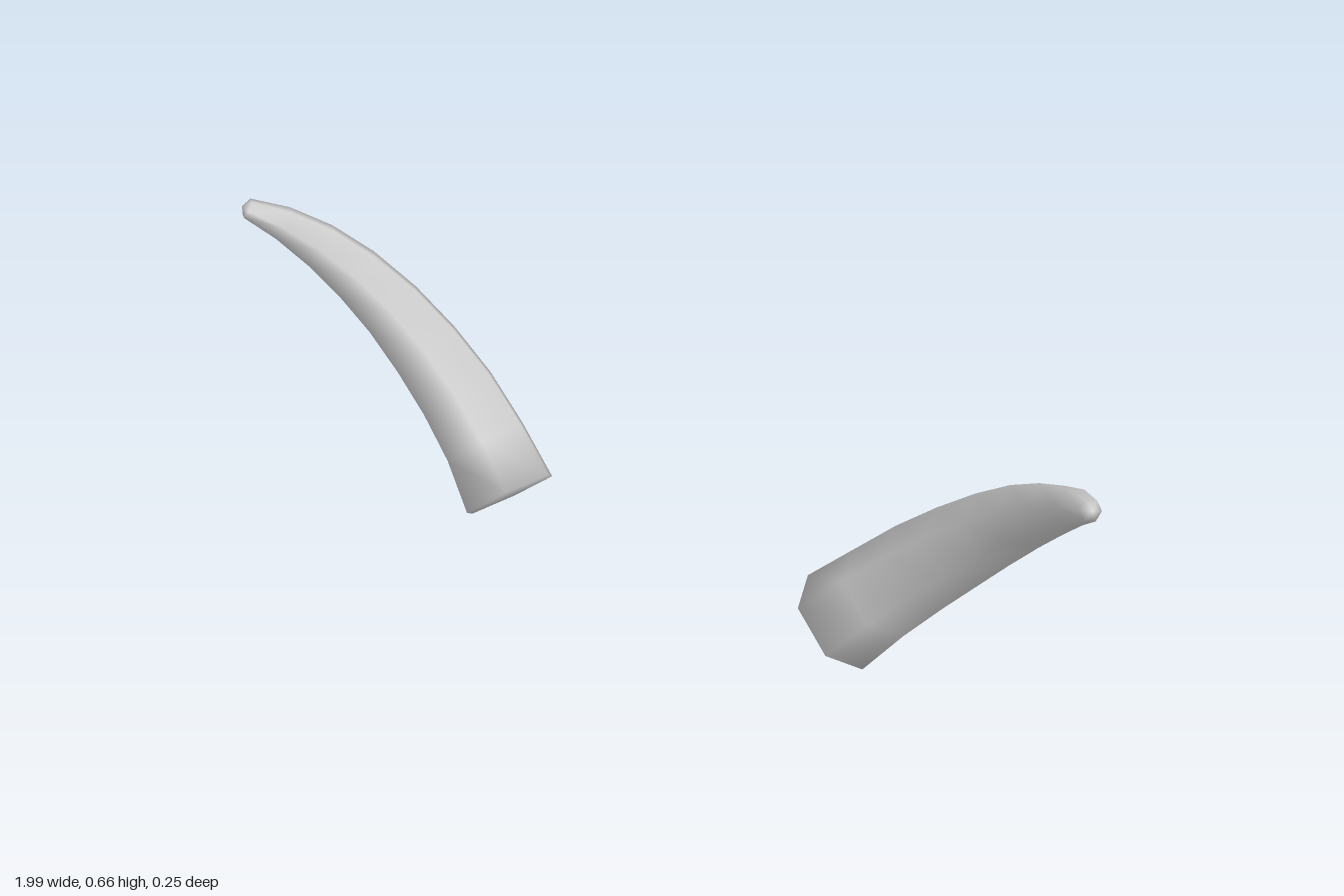
import * as THREE from 'three';

const SIDES = 6;

// Centre line of the left horn from base to tip: x, y, z, radius
const RINGS = [
  [0.403, 0.067, 0.005, 0.11],
  [0.483, 0.158, -0.022, 0.1],
  [0.563, 0.246, -0.036, 0.094],
  [0.642, 0.328, -0.038, 0.086],
  [0.72, 0.408, -0.029, 0.076],
  [0.795, 0.483, -0.007, 0.065],
  [0.862, 0.546, 0.024, 0.053],
  [0.925, 0.601, 0.065, 0.038],
  [0.979, 0.643, 0.112, 0.022],
];

// Tapered six-sided horn with smooth normals running over its closed ends
function hornGeometry(side) {
  const centres = RINGS.map(([x, y, z]) => new THREE.Vector3(x, y, z));
  const last = centres.length - 1;
  const outward = new THREE.Vector3(0.75, -0.61, 0.25);
  const positions = [];
  const index = [];
  const put = (p) => positions.push(p.x * side, p.y, p.z);
  const face = (a, b, c) => (side > 0 ? index.push(a, b, c) : index.push(a, c, b));
  const tangent = new THREE.Vector3();

  centres.forEach((centre, i) => {
    if (i === 0) tangent.set(0.66, 0.71, -0.24).normalize();
    else tangent.subVectors(centres[Math.min(i + 1, last)], centres[i - 1]).normalize();
    const u = outward.clone().addScaledVector(tangent, -outward.dot(tangent)).normalize();
    const v = new THREE.Vector3().crossVectors(tangent, u);
    for (let j = 0; j < SIDES; j++) {
      const angle = (j / SIDES) * Math.PI * 2;
      put(centre.clone()
        .addScaledVector(u, Math.cos(angle) * RINGS[i][3])
        .addScaledVector(v, Math.sin(angle) * RINGS[i][3]));
    }
  });

  // Side walls
  for (let i = 0; i < last; i++) {
    for (let j = 0; j < SIDES; j++) {
      const k = (j + 1) % SIDES;
      const a = i * SIDES + j, b = i * SIDES + k;
      face(a, b, b + SIDES);
      face(a, b + SIDES, a + SIDES);
    }
  }

  // Base cap
  for (let j = 1; j < SIDES - 1; j++) face(0, j + 1, j);

  // Blunt tip
  put(centres[last].clone().addScaledVector(tangent, 0.012));
  const apex = (last + 1) * SIDES;
  for (let j = 0; j < SIDES; j++) {
    face(last * SIDES + j, last * SIDES + ((j + 1) % SIDES), apex);
  }

  const geometry = new THREE.BufferGeometry();
  geometry.setAttribute('position', new THREE.Float32BufferAttribute(positions, 3));
  geometry.setIndex(index);
  geometry.computeVertexNormals();
  return geometry;
}

export function createModel() {
  const group = new THREE.Group();
  group.name = 'horns';
  const grey = new THREE.MeshStandardMaterial({ color: 0xcccccc });
  grey.name = 'light grey';

  for (const [name, side] of [['leftHorn', 1], ['rightHorn', -1]]) {
    const horn = new THREE.Mesh(hornGeometry(side), grey);
    horn.name = name;
    group.add(horn);
  }
  return group;
}
